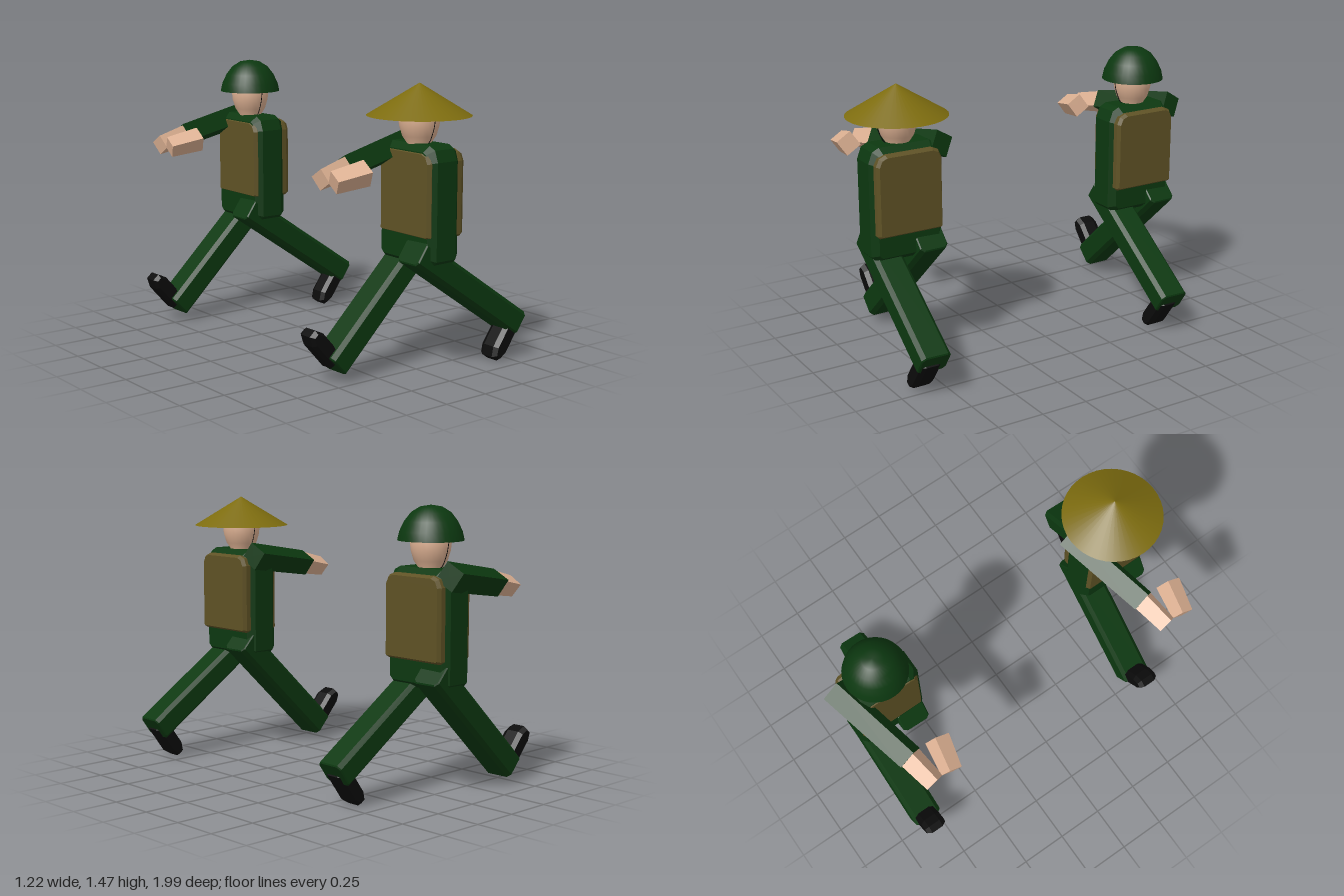
import * as THREE from 'three';
import { toCreasedNormals } from 'three/addons/utils/BufferGeometryUtils.js';

const V = (x, y, z) => new THREE.Vector3(x, y, z);
const HEAD_X = 0.012;

const material = (name, color) => {
  const m = new THREE.MeshStandardMaterial({ color });
  m.name = name;
  return m;
};

function add(parent, name, geometry, mat) {
  const mesh = new THREE.Mesh(geometry, mat);
  mesh.name = name;
  parent.add(mesh);
  return mesh;
}

// Extruded outline with one-step bevels, centred along its depth
function slab(points, depth, bevelDepth, bevelSize) {
  const shape = new THREE.Shape(points.map(([x, y]) => new THREE.Vector2(x, y)));
  const g = new THREE.ExtrudeGeometry(shape, {
    depth: depth - 2 * bevelDepth, bevelEnabled: true, bevelSegments: 1,
    bevelThickness: bevelDepth, bevelSize, bevelOffset: -bevelSize,
  });
  return g.translate(0, 0, bevelDepth - depth / 2);
}

// Upright outline mirrored from its right half, which runs bottom to top
const mirrored = half => [...half, ...half.map(([x, y]) => [-x, y]).reverse()];

// Chamfered bar between two points
function bar(parent, name, from, to, w, h, c, mat) {
  const half = [[w / 2 - c, -h / 2], [w / 2, c - h / 2], [w / 2, h / 2 - c], [w / 2 - c, h / 2]];
  const mesh = add(parent, name, slab(mirrored(half), from.distanceTo(to), 0.006, 0.006), mat);
  mesh.position.copy(from).lerp(to, 0.5);
  mesh.lookAt(to);
}

// Four-sided tapering limb with its edges up, down and sideways
function limb(parent, name, from, to, r0, r1, mat) {
  const g = new THREE.CylinderGeometry(r1, r0, from.distanceTo(to), 4).toNonIndexed();
  g.computeVertexNormals();
  const mesh = add(parent, name, g, mat);
  mesh.position.copy(from).lerp(to, 0.5);
  mesh.quaternion.setFromUnitVectors(V(0, 1, 0), to.clone().sub(from).normalize());
}

// Blunt boot pointing from heel to toe
function boot(parent, name, heel, toe, mat) {
  const l = heel.distanceTo(toe);
  const outline = [[0, -0.044], [l - 0.05, -0.044], [l, -0.022], [l, 0.022], [l - 0.05, 0.044], [0, 0.044]];
  const mesh = add(parent, name, slab(outline, 0.118, 0.025, 0.014), mat);
  mesh.position.copy(heel);
  mesh.rotation.z = Math.atan2(toe.y - heel.y, toe.x - heel.x);
}

function lathe(points, segments, crease) {
  const g = new THREE.LatheGeometry(points.map(([r, y]) => new THREE.Vector2(r, y)), segments);
  return toCreasedNormals(g, crease);
}

function createSoldier(mats) {
  const { green, skin, pack, black } = mats;
  const s = new THREE.Group();

  // Torso and the canvas pack covering both flat sides
  const body = mirrored([[0.165, 0.565], [0.2, 0.6], [0.2, 1.09], [0.178, 1.148], [0.14, 1.167]]);
  add(s, 'torso', slab(body, 0.2, 0.038, 0.03).rotateY(Math.PI / 2), green).position.x = 0.02;
  const flap = mirrored([[0.172, 0.708], [0.183, 0.72], [0.183, 1.085], [0.165, 1.125], [0.13, 1.14]]);
  add(s, 'pack', slab(flap, 0.238, 0.02, 0.012).rotateY(Math.PI / 2), pack).position.x = 0.033;

  // One sleeve and two hands
  limb(s, 'sleeve', V(0.1, 1.14, -0.205), V(-0.395, 1.063, -0.083), 0.077, 0.073, green);
  for (const side of [-1, 1]) {
    limb(s, 'hand', V(-0.388, 1.063, side * 0.083), V(-0.562, 1.03, side * 0.05), 0.065, 0.056, skin);
  }

  // Striding legs and boots
  bar(s, 'leadingLeg', V(0.13, 0.66, -0.115), V(-0.468, 0.094, -0.098), 0.16, 0.138, 0.02, green);
  bar(s, 'trailingLeg', V(-0.11, 0.648, 0.1), V(0.568, 0.185, 0.115), 0.16, 0.135, 0.02, green);
  boot(s, 'leadingBoot', V(-0.45, 0.11, -0.105), V(-0.597, 0.277, -0.105), black);
  boot(s, 'trailingBoot', V(0.535, 0.2, 0.125), V(0.407, 0.02, 0.125), black);

  // Head
  const head = lathe([[0, 1.13], [0.058, 1.13], [0.062, 1.165], [0.085, 1.2], [0.1, 1.25],
    [0.105, 1.3], [0.09, 1.35], [0, 1.38]], 24, 0.9);
  add(s, 'head', head, skin).position.x = HEAD_X;

  // Chin strap running under the jaw
  const strap = new THREE.CatmullRomCurve3([V(0, 1.3, 0.12), V(0, 1.23, 0.104), V(0, 1.163, 0.066),
    V(0, 1.155, 0), V(0, 1.163, -0.066), V(0, 1.23, -0.104), V(0, 1.3, -0.12)]);
  add(s, 'chinStrap', new THREE.TubeGeometry(strap, 24, 0.0025, 4), black).position.x = HEAD_X;
  return s;
}

export function createModel() {
  const mats = {
    green: material('uniform green', 0x0c3810),
    skin: material('skin', 0xdcb092),
    pack: material('canvas brown', 0x5f5225),
    black: material('boot black', 0x0b0b0b),
    straw: material('straw yellow', 0x7d6c0f),
  };
  const model = new THREE.Group();

  // Front soldier with a conical straw hat
  const front = createSoldier(mats);
  front.name = 'frontSoldier';
  front.position.z = 0.737;
  const hat = new THREE.ConeGeometry(0.262, 0.16, 40);
  add(front, 'strawHat', hat, mats.straw).position.set(HEAD_X, 1.38, 0);

  // Rear soldier with a domed helmet
  const rear = createSoldier(mats);
  rear.name = 'rearSoldier';
  rear.position.z = -0.718;
  const dome = lathe([[0, 1.34], [0.145, 1.32], [0.155, 1.3], [0.167, 1.3], [0.157, 1.345],
    [0.133, 1.395], [0.1, 1.438], [0.055, 1.466], [0, 1.475]], 32, 0.7);
  add(rear, 'helmet', dome, mats.green).position.x = HEAD_X;

  model.add(front, rear);
  return model;
}
